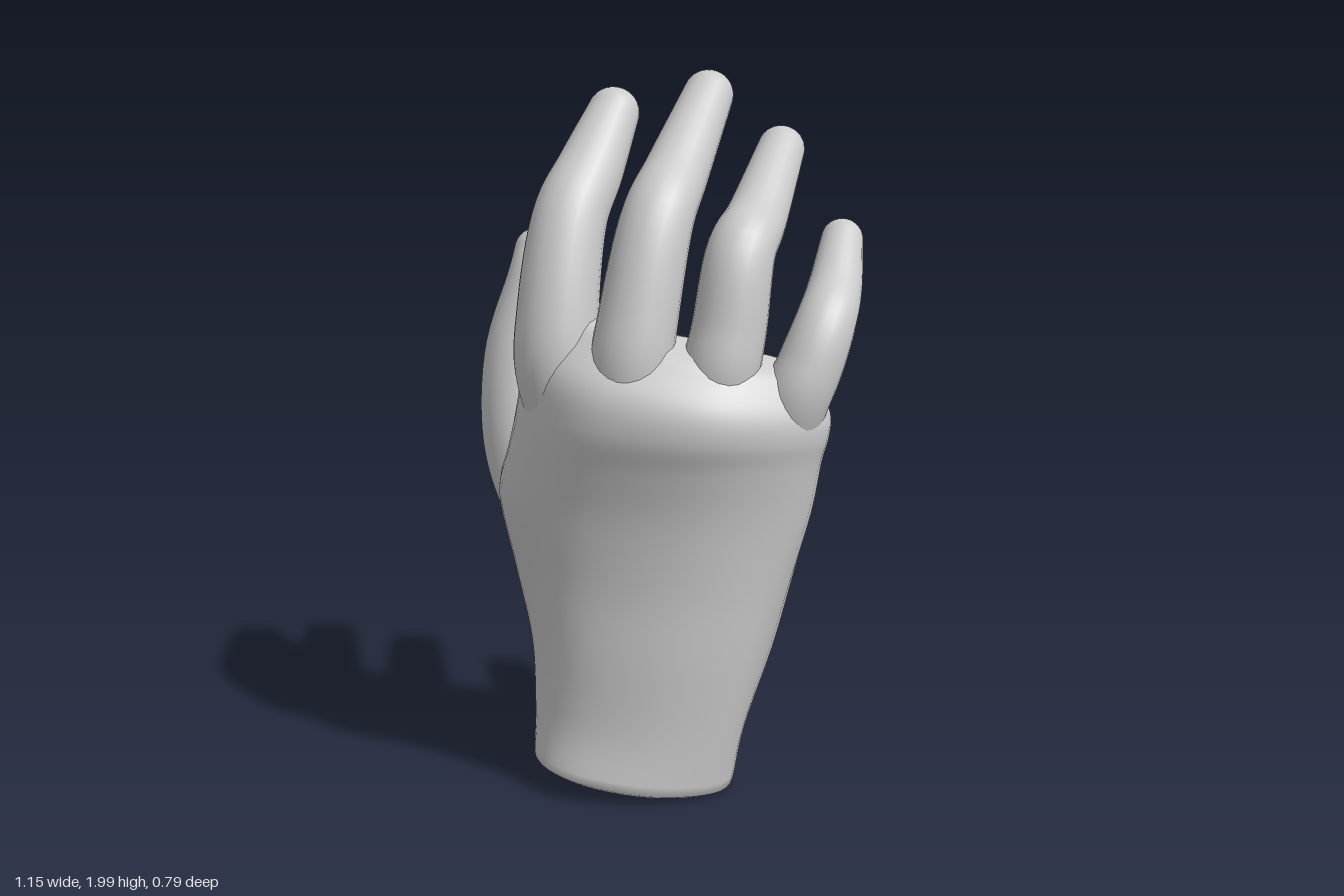
import * as THREE from 'three';
import { mergeVertices } from 'three/addons/utils/BufferGeometryUtils.js';

const material = new THREE.MeshStandardMaterial({ color: 0xcccccc });
const V = (x, y, z) => new THREE.Vector3(x, y, z);
const spline = (points, closed = false) => new THREE.CatmullRomCurve3(points, closed, 'catmullrom', 0.5);

// Skins a stack of closed rings (equal point counts) into one smooth mesh.
function skin(name, rings) {
  const n = rings[0].length, index = [];
  for (let j = 0; j < rings.length - 1; j++) {
    for (let i = 0; i < n; i++) {
      const a = j * n + i, b = j * n + (i + 1) % n;
      index.push(a, b, b + n, a, b + n, a + n);
    }
  }
  let geometry = new THREE.BufferGeometry().setFromPoints(rings.flat());
  geometry.setIndex(index);
  geometry = mergeVertices(geometry, 1e-5);
  geometry.computeVertexNormals();
  const mesh = new THREE.Mesh(geometry, material);
  mesh.name = name;
  return mesh;
}

// A copy of a ring scaled about its centre and moved up by dy.
function shrink(ring, s, dy) {
  const c = ring.reduce((sum, p) => sum.add(p), V(0, 0, 0)).divideScalar(ring.length);
  return ring.map(p => p.clone().sub(c).multiplyScalar(s).add(c).add(V(0, dy, 0)));
}

// Closed outline of the palm: an arched back between the two edges,
// and on the palm side a hollow between the thumb heel and the outer heel.
function palmOutline({ y, slope = 0, thumbEdge: [x0, z0], outerEdge: [x1, z1], back, hollow, heels: [h0, h1] }) {
  const at = (u, z) => {
    const x = x0 + (x1 - x0) * u;
    return V(x, y + slope * x, z);
  };
  return spline([
    at(0, z0), at(0.16, z0 + 0.78 * (back - z0)), at(0.44, back), at(0.79, z1 + 0.68 * (back - z1)),
    at(1, z1), at(0.87, z1 - h1), at(0.53, hollow), at(0.15, z0 - h0),
  ], true).getPoints(48).slice(0, 48);
}

function palm() {
  const outlines = [
    { y: .055, slope: -.15, thumbEdge: [-.275, .15], outerEdge: [.305, .13], back: .395, hollow: -.11, heels: [.19, .18] },
    { y: .2, slope: -.08, thumbEdge: [-.285, .15], outerEdge: [.335, .12], back: .36, hollow: -.11, heels: [.19, .19] },
    { y: .4, thumbEdge: [-.315, .12], outerEdge: [.385, .08], back: .345, hollow: -.17, heels: [.25, .25] },
    { y: .6, thumbEdge: [-.395, .08], outerEdge: [.43, .04], back: .338, hollow: -.15, heels: [.26, .235] },
    { y: .8, thumbEdge: [-.47, .04], outerEdge: [.48, 0], back: .355, hollow: -.08, heels: [.16, .185] },
    { y: .95, thumbEdge: [-.41, .09], outerEdge: [.51, -.01], back: .375, hollow: -.02, heels: [.08, .145] },
    { y: 1.08, slope: -.1, thumbEdge: [-.32, .19], outerEdge: [.53, -.02], back: .39, hollow: .02, heels: [.1, .115] },
    { y: 1.2, slope: -.2, thumbEdge: [-.28, .23], outerEdge: [.53, -.03], back: .368, hollow: .04, heels: [.11, .09] },
    { y: 1.31, slope: -.25, thumbEdge: [-.23, .22], outerEdge: [.49, -.03], back: .28, hollow: .08, heels: [.08, .05] },
  ].map(palmOutline);
  const columns = outlines[0].map((_, i) => spline(outlines.map(o => o[i])).getPoints(48));
  const rings = columns[0].map((_, j) => columns.map(c => c[j]));
  const first = rings[0], last = rings[rings.length - 1];
  return skin('palm', [
    shrink(first, 0, -0.015), shrink(first, 0.5, -0.015), shrink(first, 0.93, -0.012),
    ...rings,
    shrink(last, 0.85, 0.02), shrink(last, 0.4, 0.03), shrink(last, 0, 0.03),
  ]);
}

// A digit follows its joints with a radius at each one, and ends in a dome.
function digit(name, joints, radii) {
  const path = spline(joints), sizes = spline(radii.map(r => V(r, 0, 0)));
  const rings = [], sides = 24, steps = 32, domeSteps = 8;
  const addRing = (t, angle) => {
    const tangent = path.getTangent(t), radius = sizes.getPoint(t).x;
    const side = V(1, 0, 0).addScaledVector(tangent, -tangent.x).normalize();
    const back = side.clone().cross(tangent);
    const centre = path.getPoint(t).addScaledVector(tangent, radius * Math.sin(angle));
    const r = radius * Math.cos(angle);
    rings.push(Array.from({ length: sides }, (_, i) => {
      const a = i / sides * Math.PI * 2;
      return centre.clone().addScaledVector(side, -Math.cos(a) * r).addScaledVector(back, Math.sin(a) * r);
    }));
  };
  for (let i = 0; i <= steps; i++) addRing(i / steps, 0);
  for (let i = 1; i <= domeSteps; i++) addRing(1, i / domeSteps * Math.PI / 2);
  return skin(name, rings);
}

// Fingers share one taper and grow from a root buried in the palm.
function finger(name, radius, ...joints) {
  const [x, y, z] = joints[0];
  const taper = [0.6, 0.96, 0.95, 0.88, 0.79, 0.62];
  return digit(name, [V(x * 0.85, y - 0.25, z - 0.04), ...joints.map(p => V(...p))], taper.map(k => k * radius));
}

export function createModel() {
  const hand = new THREE.Group();
  hand.name = 'hand';
  hand.add(
    palm(),
    digit('thumb', [
      V(-.22, .5, .07), V(-.355, .72, .035), V(-.435, .92, .02), V(-.468, 1.16, -.01),
      V(-.45, 1.37, -.065), V(-.46, 1.455, -.1),
    ], [.07, .112, .121, .105, .085, .072]),
    finger('indexFinger', .12, [-.155, 1.18, .255], [-.165, 1.37, .235], [-.18, 1.6, .155], [-.185, 1.73, .04], [-.197, 1.875, -.1]),
    finger('middleFinger', .116, [.07, 1.18, .235], [.08, 1.37, .205], [.08, 1.61, .115], [.055, 1.73, -.03], [.018, 1.923, -.265]),
    finger('ringFinger', .109, [.275, 1.17, .11], [.295, 1.33, .085], [.297, 1.53, .03], [.272, 1.61, -.1], [.22, 1.775, -.33]),
    finger('littleFinger', .096, [.44, 1.1, -.01], [.48, 1.23, -.04], [.493, 1.34, -.1], [.468, 1.42, -.2], [.425, 1.535, -.32]),
  );
  return hand;
}
